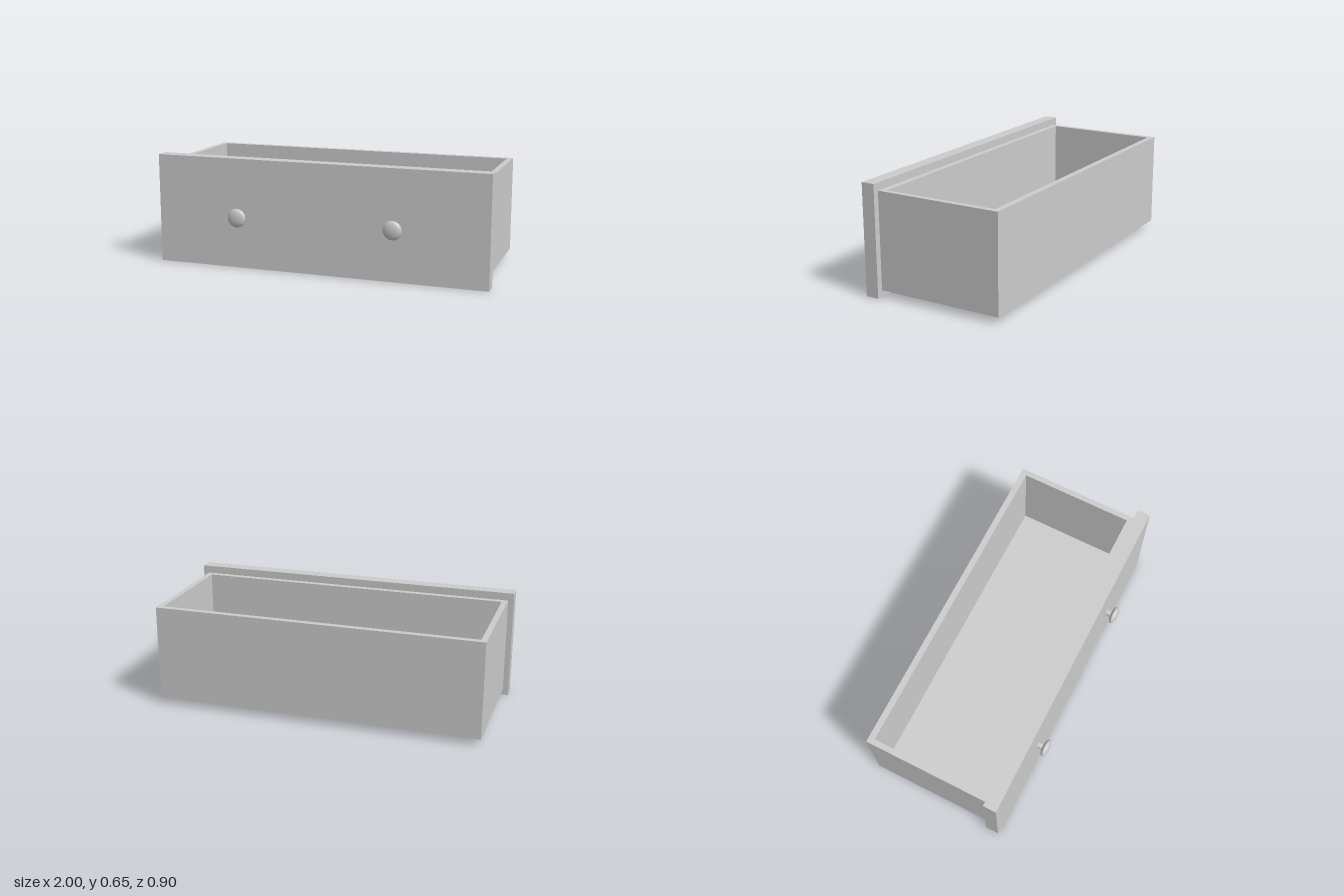
import * as THREE from 'three';

const material = new THREE.MeshStandardMaterial({ color: 0xcccccc });

function addMesh(parent, name, geometry, x = 0, y = 0, z = 0) {
  const mesh = new THREE.Mesh(geometry, material);
  mesh.name = name;
  mesh.position.set(x, y, z);
  parent.add(mesh);
  return mesh;
}

// Adds a rectangle to a shape or path, with z running down the page
function rectangle(path, x0, x1, z0, z1) {
  path.moveTo(x0, -z1);
  path.lineTo(x1, -z1);
  path.lineTo(x1, -z0);
  path.lineTo(x0, -z0);
  path.closePath();
  return path;
}

// Round knob: a short stem and a flattened head, turned about the z axis
function createKnob() {
  const points = [[0.021, 0], [0.021, 0.033]].map(p => new THREE.Vector2(...p));
  const knob = new THREE.Group();
  knob.name = 'knob';
  addMesh(knob, 'knobStem', new THREE.LatheGeometry(points, 24).rotateX(Math.PI / 2));
  const head = new THREE.SphereGeometry(1, 24, 14);
  head.scale(0.055, 0.0215, 0.055).rotateX(Math.PI / 2);
  addMesh(knob, 'knobHead', head, 0, 0, 0.051);
  return knob;
}

export function createModel() {
  const drawer = new THREE.Group();
  drawer.name = 'drawer';

  // Front panel, overlapping the tray on every side
  addMesh(drawer, 'frontPanel', new THREE.BoxGeometry(2, 0.65, 0.079), 0, 0.325, 0.3395);

  // Four walls as one rectangular frame
  const bottom = 0.038, top = 0.605, floorThickness = 0.035;
  const frame = rectangle(new THREE.Shape(), -0.967, 0.964, -0.45, 0.3);
  frame.holes.push(rectangle(new THREE.Path(), -0.934, 0.931, -0.414, 0.264));
  const walls = new THREE.ExtrudeGeometry(frame, { depth: top - bottom, bevelEnabled: false });
  addMesh(drawer, 'walls', walls.rotateX(-Math.PI / 2), 0, bottom, 0);

  // Floor, set between the walls
  addMesh(drawer, 'floor', new THREE.BoxGeometry(1.865, floorThickness, 0.678),
    -0.0015, bottom + floorThickness / 2, -0.075);

  // Pair of knobs
  for (const x of [-0.477, 0.461]) {
    const knob = createKnob();
    knob.position.set(x, 0.31, 0.378);
    drawer.add(knob);
  }
  return drawer;
}
